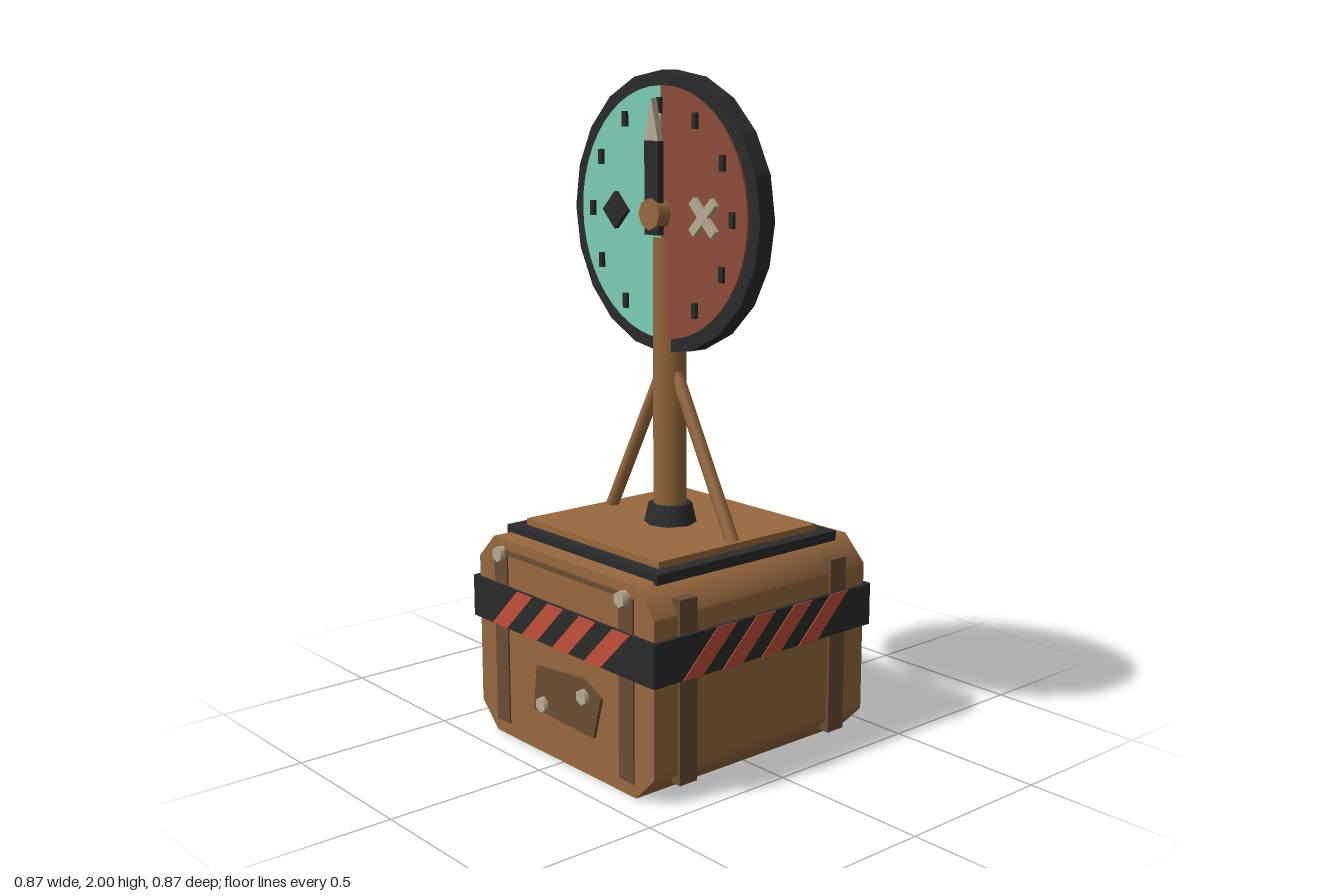
import * as THREE from 'three';
import { toCreasedNormals } from 'three/addons/utils/BufferGeometryUtils.js';

const mat = (name, color) => {
  const m = new THREE.MeshStandardMaterial({ color });
  m.name = name;
  return m;
};

export function createModel() {
  const wood = mat('warm brown', 0x98693f);
  const darkWood = mat('dark brown', 0x6b4e35);
  const black = mat('charcoal', 0x2b2b2b);
  const red = mat('warning red', 0xc4503a);
  const rust = mat('dial rust', 0x8e4c3a);
  const teal = mat('dial teal', 0x7dcdb6);
  const cream = mat('pale metal', 0xb8ab92);

  const model = new THREE.Group();
  model.name = 'dialStation';

  const add = (parent, name, geo, material, x = 0, y = 0, z = 0) => {
    const m = new THREE.Mesh(geo, material);
    m.name = name;
    m.position.set(x, y, z);
    parent.add(m);
    return m;
  };
  const box = (w, h, d) => new THREE.BoxGeometry(w, h, d);
  const plate = (points, depth) => new THREE.ExtrudeGeometry(
    new THREE.Shape(points.map(([x, y]) => new THREE.Vector2(x, y))), { depth, bevelEnabled: false });
  // Short cylinder facing +z
  const knob = (r, d, sides) => new THREE.CylinderGeometry(r, r, d, sides).rotateX(Math.PI / 2);

  // ---- Crate: softened chamfers along its four long edges ----
  const crate = new THREE.Group();
  crate.name = 'crate';
  crate.position.z = -0.005;
  model.add(crate);

  const W = 0.412, H = 0.31, C = 0.078, E = 0.012;
  const corner = [[W, H - C - E], [W, H - C], [W - C, H], [W - C - E, H]];
  const flipped = [...corner].reverse();
  const profile = [
    ...corner,
    ...flipped.map(([x, y]) => [-x, y]),
    ...corner.map(([x, y]) => [-x, -y]),
    ...flipped.map(([x, y]) => [x, -y]),
  ];
  const body = toCreasedNormals(plate(profile, 0.83), 1.0);
  add(crate, 'crateBody', body, wood, 0, H, -0.415);

  // Straps and hazard bands, repeated on the four sides
  const stripe = plate([[-0.1025, -0.064], [-0.0275, -0.064], [0.1025, 0.064], [0.0275, 0.064]], 0.003);
  for (let i = 0; i < 4; i++) {
    const side = new THREE.Group();
    side.name = 'crateSide';
    side.rotation.y = i * Math.PI / 2;
    crate.add(side);
    for (const s of [-1, 1]) {
      add(side, 'strap', box(0.064, 0.54, 0.034), darkWood, s * 0.296, 0.31, 0.403);
    }
    add(side, 'hazardBand', box(0.852, 0.128, 0.012), black, 0, 0.415, 0.424);
    for (const x of [-0.225, -0.075, 0.075, 0.225]) {
      add(side, 'hazardStripe', stripe, red, x, 0.415, 0.4295);
    }
  }

  // Stepped lid
  add(crate, 'lidBase', box(0.706, 0.03, 0.706), black, 0, 0.626, 0);
  add(crate, 'lidPanel', box(0.62, 0.022, 0.62), wood, 0, 0.65, 0);

  // Front bar, patch and bolts
  add(model, 'frontBar', box(0.58, 0.014, 0.014), darkWood, 0, 0.583, 0.411);
  const patch = [[-0.13, 0.132], [0.155, 0.125], [0.19, 0.252], [0.105, 0.29], [-0.115, 0.27]];
  add(model, 'patchPlate', plate(patch, 0.015), darkWood, 0, 0, 0.405);
  for (const [x, y] of [[-0.29, 0.575], [0.29, 0.575], [-0.08, 0.16], [0.115, 0.24]]) {
    add(model, 'bolt', knob(0.024, 0.03, 6), cream, x, y, 0.419);
  }

  // ---- Stand ----
  add(model, 'poleCollar', new THREE.CylinderGeometry(0.066, 0.08, 0.062, 8), black, 0, 0.69, -0.005);
  add(model, 'pole', new THREE.CylinderGeometry(0.05, 0.05, 0.87, 8), wood, 0, 1.085, -0.003);
  for (const s of [-1, 1]) {
    const a = new THREE.Vector3(s * 0.282, 0.65, -0.002);
    const b = new THREE.Vector3(s * 0.02, 1.14, -0.002);
    const dir = b.clone().sub(a);
    const mid = a.clone().add(b).multiplyScalar(0.5);
    const strut = add(model, 'strut', new THREE.CylinderGeometry(0.02, 0.02, dir.length(), 8), wood, mid.x, mid.y, mid.z);
    strut.quaternion.setFromUnitVectors(new THREE.Vector3(0, 1, 0), dir.normalize());
  }

  // ---- Dial ----
  const dial = new THREE.Group();
  dial.name = 'dial';
  dial.position.y = 1.59;
  model.add(dial);
  const disc = new THREE.CylinderGeometry(0.41, 0.41, 0.056, 20).toNonIndexed();
  disc.rotateX(Math.PI / 2);
  disc.computeVertexNormals();
  add(dial, 'dialDisc', disc, black, 0, 0, -0.003);

  const half = new THREE.Shape();
  half.absarc(0, 0, 0.366, -Math.PI / 2, Math.PI / 2, false);
  const halfGeo = new THREE.ExtrudeGeometry(half, { depth: 0.008, bevelEnabled: false, curveSegments: 12 });
  add(dial, 'rustHalf', halfGeo, rust, 0, 0, 0.024);
  add(dial, 'tealHalf', halfGeo, teal, 0, 0, 0.032).rotation.y = Math.PI;

  // Upright hour ticks
  for (let i = 0; i < 12; i++) {
    const a = i * Math.PI / 6;
    add(dial, 'tick', box(0.017, 0.045, 0.012), black, 0.31 * Math.sin(a), 0.31 * Math.cos(a), 0.037);
  }

  // Diamond and cross symbols
  add(dial, 'diamond', box(0.078, 0.078, 0.016), black, -0.195, 0, 0.04).rotation.z = Math.PI / 4;
  for (const s of [-1, 1]) {
    add(dial, 'crossArm', box(0.13, 0.028, 0.016), cream, 0.195, 0, 0.04 + s * 0.0005).rotation.z = s * Math.PI / 4;
  }

  // Pointer and hub
  add(dial, 'pointer', box(0.062, 0.27, 0.02), black, 0, 0.075, 0.058);
  add(dial, 'pointerTip', plate([[-0.029, 0], [0.029, 0], [0, 0.12]], 0.02), cream, 0, 0.21, 0.048);
  add(dial, 'hub', knob(0.046, 0.05, 8), wood, 0, 0, 0.053);

  return model;
}
